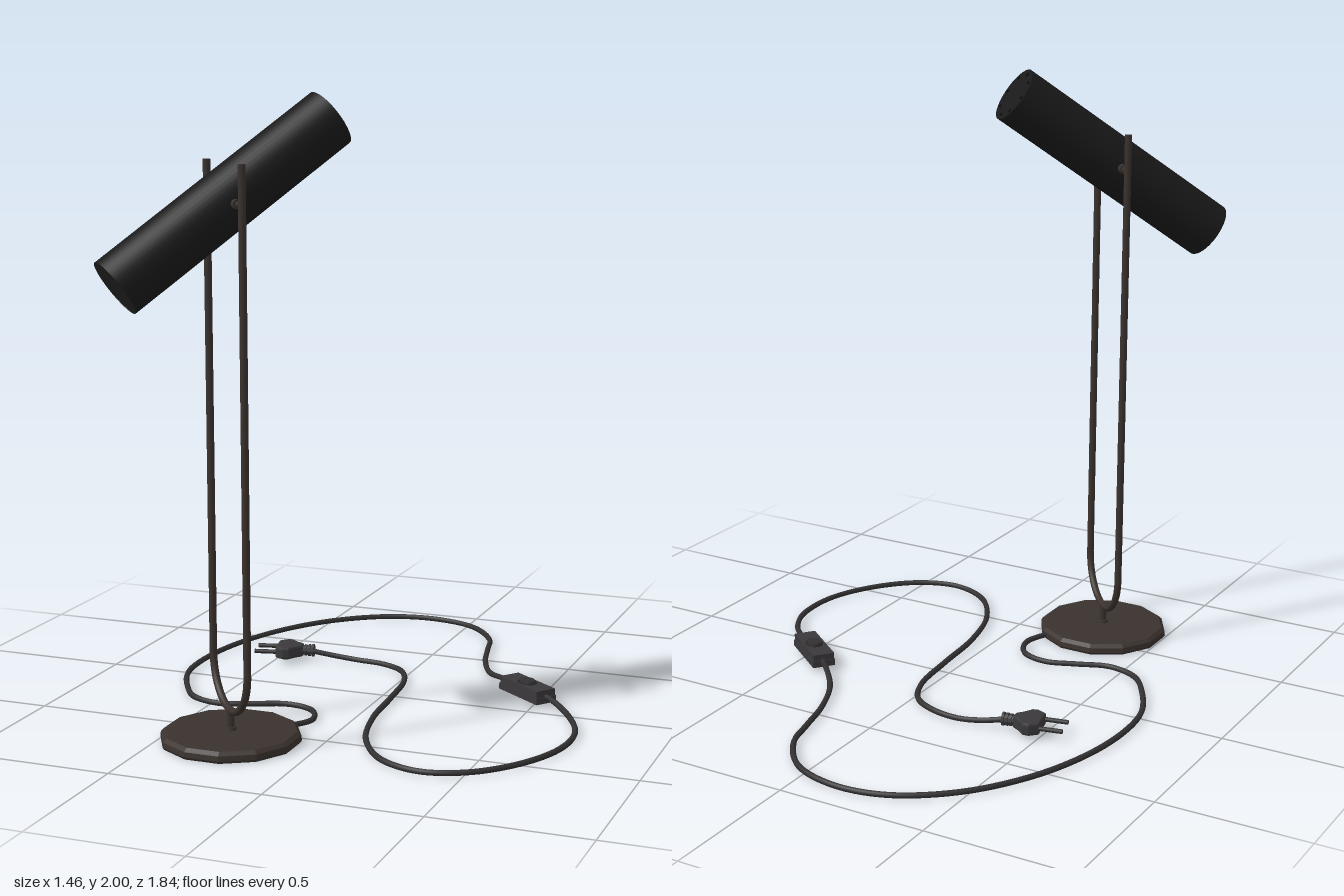
import * as THREE from 'three';

const mat = (color, extra = {}) => {
  const m = new THREE.MeshStandardMaterial({ color, ...extra });
  return m;
};
const V = (x, y, z) => new THREE.Vector3(x, y, z);
const V2 = (x, y) => new THREE.Vector2(x, y);

export function createModel() {
  const model = new THREE.Group();
  model.name = 'deskLamp';
  const black = mat(0x1a1a1a);
  const dark = mat(0x262425);
  const bronze = mat(0x3a322e);
  const bronzeFlat = mat(0x3a322e, { flatShading: true });
  const rubber = mat(0x323031);
  const rubberFlat = mat(0x3a383a, { flatShading: true });

  const add = (parent, name, geometry, material, x = 0, y = 0, z = 0) => {
    const mesh = new THREE.Mesh(geometry, material);
    mesh.name = name;
    mesh.position.set(x, y, z);
    parent.add(mesh);
    return mesh;
  };

  // Stand: local x runs across the two arms
  const stand = new THREE.Group();
  stand.name = 'stand';
  stand.position.set(-0.283, 0, 0.596);
  model.add(stand);

  // Twelve-sided foot with a bevelled rim
  const foot = [V2(0, 0), V2(0.219, 0), V2(0.224, 0.008), V2(0.222, 0.024), V2(0.21, 0.035), V2(0, 0.036)];
  add(stand, 'base', new THREE.LatheGeometry(foot, 12, Math.PI / 12), bronzeFlat);
  add(stand, 'stem', new THREE.CylinderGeometry(0.012, 0.012, 0.065, 12), bronze, 0, 0.065, 0);
  add(stand, 'stemCollar', new THREE.CylinderGeometry(0.018, 0.02, 0.01, 12), bronze, 0, 0.04, 0);

  // U-shaped fork: two straight arms joined by a half circle
  const fork = new THREE.Group();
  fork.name = 'fork';
  fork.rotation.y = -Math.PI / 4;
  stand.add(fork);
  const R = 0.152, bendY = 0.25, topY = 1.8, tube = 0.012;
  const bend = add(fork, 'forkBend', new THREE.TorusGeometry(R, tube, 10, 32, Math.PI), bronze, 0, bendY, 0);
  bend.rotation.z = Math.PI;
  for (const s of [-1, 1]) {
    add(fork, 'forkArm', new THREE.CylinderGeometry(tube, tube, topY - bendY, 12),
      bronze, s * R, (topY + bendY) / 2, 0);
    // Pivot pin and its spacer against the shade
    const pin = add(fork, 'pivotPin', new THREE.CylinderGeometry(0.009, 0.009, 0.075, 12), bronze, s * 0.122, 1.68, 0);
    const nut = add(fork, 'pivotSpacer', new THREE.CylinderGeometry(0.015, 0.015, 0.022, 12), bronze, s * 0.105, 1.68, 0);
    pin.rotation.z = nut.rotation.z = Math.PI / 2;
  }

  // Tilted cylindrical shade
  const shade = new THREE.Group();
  shade.name = 'shade';
  shade.position.set(0, 1.68, 0);
  shade.quaternion.setFromUnitVectors(V(0, 1, 0), V(1, 1, -1).normalize());
  stand.add(shade);
  const r = 0.096, half = 0.422;
  add(shade, 'shadeBody', new THREE.CylinderGeometry(r, r, half * 2, 40, 1, true), mat(0x1a1a1a, { side: THREE.DoubleSide }));
  add(shade, 'shadeTop', new THREE.CylinderGeometry(r - 0.001, r - 0.001, 0.006, 40), black, 0, half - 0.004, 0);
  add(shade, 'shadeDiffuser', new THREE.CylinderGeometry(r - 0.001, r - 0.001, 0.006, 40), dark, 0, -half + 0.005, 0);
  // Ring of small vents on the top end
  for (let i = 0; i < 8; i++) {
    const a = (i / 8) * Math.PI * 2;
    add(shade, 'vent', new THREE.CylinderGeometry(0.006, 0.006, 0.002, 8), mat(0x080808),
      Math.cos(a) * 0.077, half, Math.sin(a) * 0.077);
  }

  // Cable on the floor: x, z and optional height
  const cable = (name, points) => {
    const curve = new THREE.CatmullRomCurve3(points.map(([x, z, y = 0.011]) => V(x, y, z)));
    add(model, name, new THREE.TubeGeometry(curve, points.length * 7, 0.0095, 8), rubber);
  };
  cable('cableLampToSwitch', [
    [-0.15, 0.45, 0.016], [-0.11, 0.35], [-0.15, 0.26], [-0.245, 0.23], [-0.35, 0.265], [-0.455, 0.302],
    [-0.563, 0.27], [-0.64, 0.17], [-0.708, 0.02], [-0.722, -0.155], [-0.69, -0.364], [-0.61, -0.573],
    [-0.48, -0.757], [-0.31, -0.879], [-0.143, -0.91], [0.027, -0.859], [0.14, -0.723], [0.172, -0.607],
    [0.21, -0.46], [0.275, -0.315, 0.016], [0.375, -0.204, 0.035], [0.42, -0.166, 0.036],
  ]);
  cable('cableSwitchToPlug', [
    [0.5, -0.1, 0.036], [0.56, -0.058, 0.034], [0.655, 0.049, 0.018], [0.712, 0.18], [0.708, 0.35], [0.63, 0.52],
    [0.51, 0.641], [0.375, 0.684], [0.235, 0.63], [0.123, 0.476], [0.065, 0.267], [0.046, 0.05],
    [0.022, -0.146], [-0.031, -0.252], [-0.118, -0.301], [-0.215, -0.314], [-0.3, -0.306, 0.02], [-0.385, -0.285, 0.036],
  ]);

  // Inline switch: two shells and an oval rocker
  const sw = new THREE.Group();
  sw.name = 'inlineSwitch';
  sw.position.set(0.462, 0, -0.131);
  sw.rotation.y = -0.657;
  model.add(sw);
  add(sw, 'switchLower', new THREE.BoxGeometry(0.213, 0.022, 0.078), rubberFlat, 0, 0.025, 0);
  add(sw, 'switchUpper', new THREE.BoxGeometry(0.207, 0.022, 0.074), rubberFlat, 0, 0.047, 0);
  const rim = add(sw, 'rockerRim', new THREE.TorusGeometry(0.027, 0.003, 6, 24), dark, 0, 0.058, 0);
  rim.rotation.x = Math.PI / 2;
  rim.scale.x = 1.25;
  const rocker = add(sw, 'rocker', new THREE.CylinderGeometry(0.024, 0.026, 0.012, 24), rubber, 0, 0.061, 0);
  rocker.scale.x = 1.25;

  // Two-pin plug: local x points along the pins
  const plug = new THREE.Group();
  plug.name = 'plug';
  plug.position.set(-0.37, 0.036, -0.29);
  plug.rotation.y = Math.PI + 0.22;
  model.add(plug);
  const outline = [[0.04, 0.014], [0.06, 0.03], [0.082, 0.056], [0.1, 0.058], [0.127, 0.04]];
  const shape = new THREE.Shape([
    ...outline.map(([u, w]) => V2(u, -w)),
    ...outline.slice().reverse().map(([u, w]) => V2(u, w)),
  ]);
  const body = new THREE.ExtrudeGeometry(shape, {
    depth: 0.026, bevelThickness: 0.008, bevelSize: 0.006, bevelOffset: -0.003, bevelSegments: 2,
  });
  body.translate(0, 0, -0.013).rotateX(Math.PI / 2);
  add(plug, 'plugBody', body, rubberFlat);
  // Ribbed strain relief
  for (let i = 0; i < 4; i++) {
    const rib = add(plug, 'strainRelief', new THREE.CylinderGeometry(0.022 - i * 0.001, 0.022 - i * 0.001, 0.008, 10),
      rubberFlat, 0.002 + i * 0.013, 0, 0);
    rib.rotation.z = Math.PI / 2;
  }
  const sleeve = add(plug, 'strainSleeve', new THREE.CylinderGeometry(0.015, 0.015, 0.05, 10), rubberFlat, 0.025, 0, 0);
  sleeve.rotation.z = Math.PI / 2;
  for (const s of [-1, 1]) {
    const pin = add(plug, 'plugPin', new THREE.CylinderGeometry(0.0075, 0.0075, 0.09, 10), rubber, 0.16, 0, s * 0.036);
    pin.rotation.z = Math.PI / 2;
  }

  return model;
}
